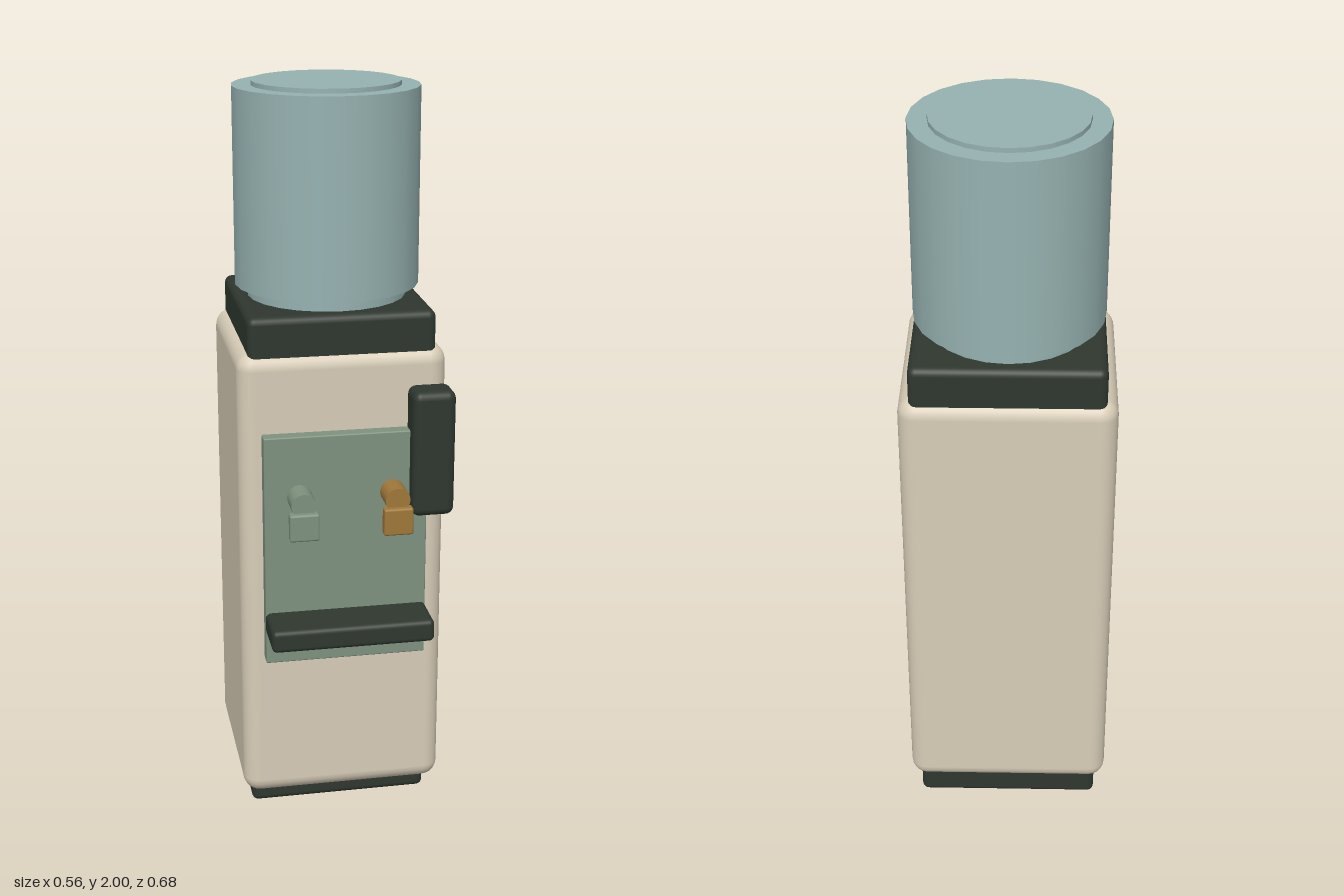
import * as THREE from 'three';
import { RoundedBoxGeometry } from 'three/addons/geometries/RoundedBoxGeometry.js';

const material = (name, color) => {
  const m = new THREE.MeshStandardMaterial({ color });
  m.name = name;
  return m;
};

export function createModel() {
  const cream = material('cream', 0xd8cdb8);
  const dark = material('darkGreen', 0x2f372f);
  const sage = material('sage', 0x7f927f);
  const water = material('bottleBlue', 0x96b2b1);
  const brass = material('brass', 0xa0783a);

  const model = new THREE.Group();
  model.name = 'waterCooler';

  const add = (name, geometry, mat, x, y, z, parent = model) => {
    const mesh = new THREE.Mesh(geometry, mat);
    mesh.name = name;
    mesh.position.set(x, y, z);
    parent.add(mesh);
    return mesh;
  };

  // Rounded block given by its [min, max] extents
  const block = (name, mat, [x0, x1], [y0, y1], [z0, z1], radius, parent) =>
    add(name, new RoundedBoxGeometry(x1 - x0, y1 - y0, z1 - z0, 3, radius), mat,
      (x0 + x1) / 2, (y0 + y1) / 2, (z0 + z1) / 2, parent);

  // Cabinet, plinth and bottle collar
  block('plinth', dark, [-0.252, 0.243], [0, 0.1], [-0.328, 0.108], 0.018);
  block('cabinet', cream, [-0.281, 0.272], [0.064, 1.342], [-0.344, 0.181], 0.045);
  block('collar', dark, [-0.252, 0.243], [1.3, 1.436], [-0.33, 0.167], 0.02);

  // Bottle: neck, barrel and raised end disc
  const disc = (name, radius, y0, y1) =>
    add(name, new THREE.CylinderGeometry(radius, radius, y1 - y0, 24), water,
      -0.0045, (y0 + y1) / 2, -0.082);
  disc('bottleNeck', 0.213, 1.42, 1.475);
  disc('bottleBarrel', 0.247, 1.467, 1.988);
  disc('bottleEnd', 0.197, 1.98, 2);

  // Front panel, drip tray and cup holder
  block('frontPanel', sage, [-0.222, 0.213], [0.489, 1.13], [0.17, 0.217], 0.004);
  block('dripTray', dark, [-0.222, 0.213], [0.575, 0.637], [0.19, 0.34], 0.014);
  block('cupHolder', dark, [0.165, 0.279], [0.9, 1.243], [0.165, 0.26], 0.022);

  // Cold and hot taps
  for (const [name, mat, x] of [['coldTap', sage, -0.129], ['hotTap', brass, 0.119]]) {
    const tap = new THREE.Group();
    tap.name = name;
    tap.position.x = x;
    model.add(tap);
    const barrel = new THREE.CylinderGeometry(0.033, 0.033, 0.09, 16).rotateX(Math.PI / 2);
    add('tapBarrel', barrel, mat, 0, 0.965, 0.245, tap);
    block('tapSpout', mat, [-0.039, 0.039], [0.873, 0.947], [0.276, 0.306], 0.006, tap);
  }

  return model;
}
